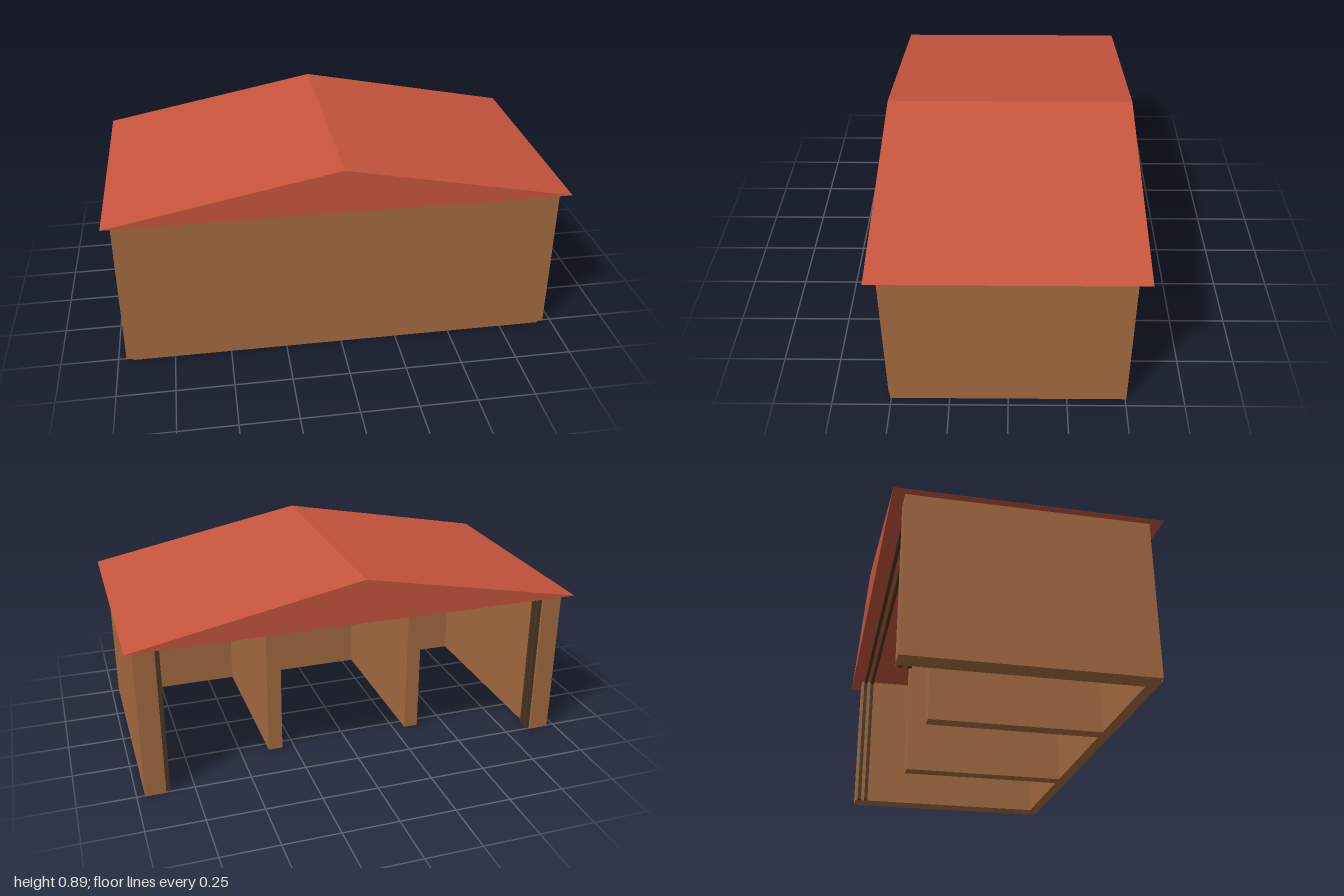
import * as THREE from 'three';

const wood = new THREE.MeshStandardMaterial({ color: 0xa56b40 });
wood.name = 'brown wood';
const tile = new THREE.MeshStandardMaterial({ color: 0xc8553d });
tile.name = 'red roof';
const rail = new THREE.MeshStandardMaterial({ color: 0x4a3823 });
rail.name = 'dark rail';

const EAVE = 0.695;

// Box given by its extents along each axis
function box(name, material, [x0, x1], [y0, y1], [z0, z1]) {
  const mesh = new THREE.Mesh(new THREE.BoxGeometry(x1 - x0, y1 - y0, z1 - z0), material);
  mesh.position.set((x0 + x1) / 2, (y0 + y1) / 2, (z0 + z1) / 2);
  mesh.name = name;
  return mesh;
}

export function createModel() {
  const model = new THREE.Group();
  model.name = 'openShed';

  // Solid gable roof overhanging the walls
  const gable = new THREE.Shape([
    new THREE.Vector2(-1, EAVE),
    new THREE.Vector2(1, EAVE),
    new THREE.Vector2(0, 0.89),
  ]);
  const roofGeometry = new THREE.ExtrudeGeometry(gable, { depth: 1.11, bevelEnabled: false });
  roofGeometry.translate(0, 0, -0.555);
  const roof = new THREE.Mesh(roofGeometry, tile);
  roof.name = 'roof';
  model.add(roof);

  // Closed front wall, standing slightly proud of the side walls
  model.add(box('frontWall', wood, [-0.935, 0.935], [0, EAVE], [0.465, 0.515]));

  for (const side of [-1, 1]) {
    const label = side > 0 ? 'left' : 'right';
    const span = (a, b) => (side > 0 ? [a, b] : [-b, -a]);

    // Thick outer wall and stall divider
    model.add(box(label + 'Wall', wood, span(0.875, 0.965), [0, EAVE], [-0.505, 0.505]));
    model.add(box(label + 'Divider', wood, span(0.305, 0.37), [0, EAVE], [-0.305, 0.47]));

    // Twin upright rails beside the open back
    for (const z of [-0.485, -0.45]) {
      model.add(box(label + 'DoorRail', rail, span(0.855, 0.876), [0, EAVE], [z - 0.008, z + 0.008]));
    }
  }

  // Twin rails under the roof across the open back
  for (const z of [-0.485, -0.45]) {
    model.add(box('topRail', rail, [-0.856, 0.856], [EAVE - 0.02, EAVE], [z - 0.008, z + 0.008]));
  }

  return model;
}
